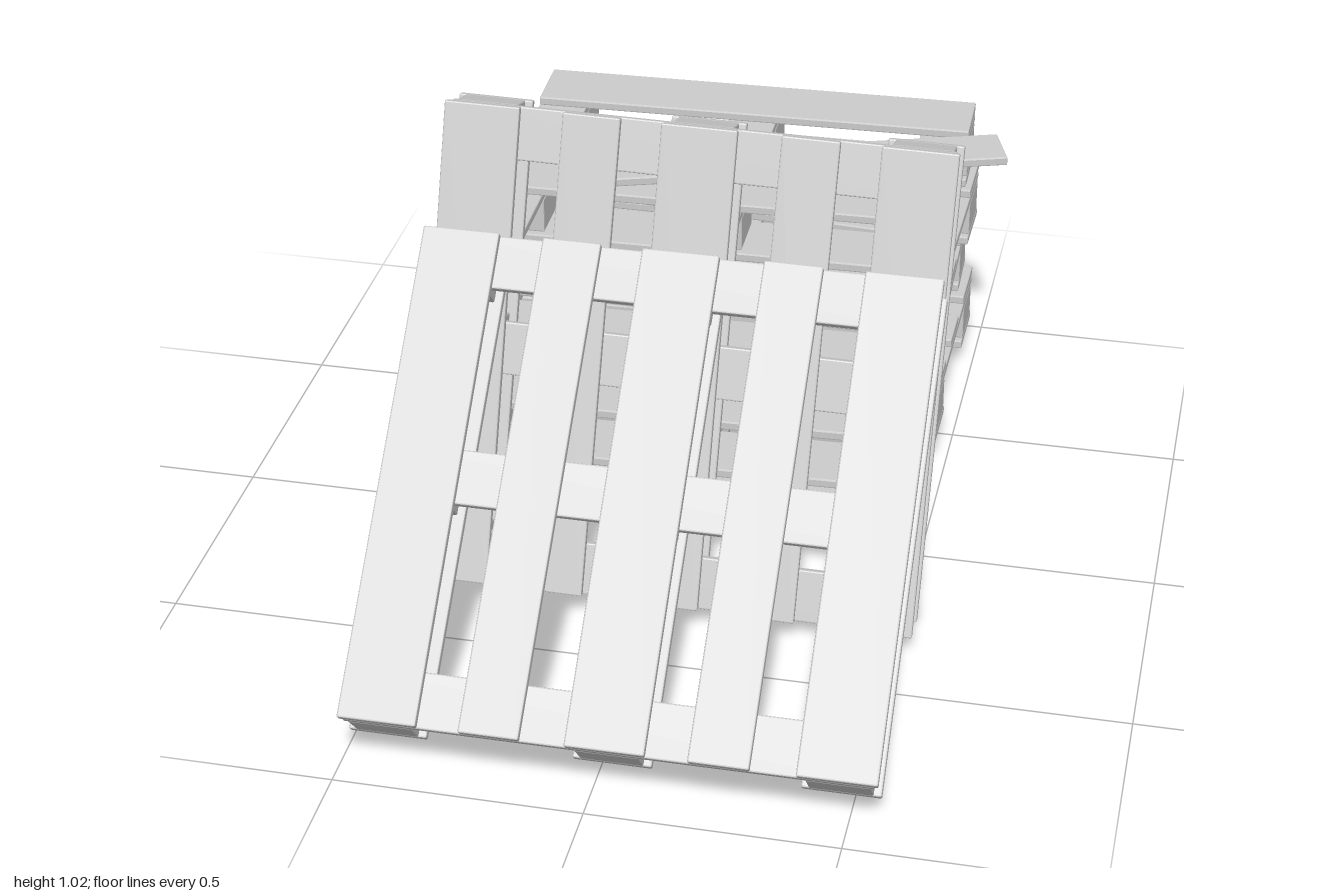
import * as THREE from 'three';
import { RoundedBoxGeometry } from 'three/addons/geometries/RoundedBoxGeometry.js';

const wood = new THREE.MeshStandardMaterial({ color: 0xcccccc, flatShading: true });

// Pallet dimensions
const PLANK = 0.02, BLOCK = 0.08, LENGTH = 1.0, SPAN = 0.445;
const WIDE = 0.155, NARROW = 0.118, STRINGER = 0.11;
const Y_BOTTOM = PLANK / 2;
const Y_BLOCK = PLANK + BLOCK / 2;
const Y_STRINGER = PLANK + BLOCK + PLANK / 2;
const Y_TOP = Y_STRINGER + PLANK;

function box(parent, name, w, h, d, x, y, z) {
  const mesh = new THREE.Mesh(new RoundedBoxGeometry(w, h, d, 1, 0.003), wood);
  mesh.name = name;
  mesh.position.set(x, y, z);
  parent.add(mesh);
  return mesh;
}

// Top boards run along x, stringers along z; "skip" lists the missing parts
function pallet(name, skip = [], jitter = 0) {
  const g = new THREE.Group();
  g.name = name;
  const has = (part) => !skip.includes(part);

  for (let i = 0; i < 5; i++) {
    if (!has('top' + i)) continue;
    const board = box(g, 'topBoard', LENGTH, PLANK, i % 2 ? NARROW : WIDE, 0, Y_TOP, (i - 2) * SPAN / 2);
    board.rotation.y = jitter * [1, -0.5, 0.7, -1, 0.4][i];
  }
  for (let i = 0; i < 3; i++) {
    const p = (i - 1) * SPAN;
    if (has('stringer' + i)) box(g, 'stringer', STRINGER, PLANK, 1.03, p, Y_STRINGER, 0);
    if (has('bottom' + i)) box(g, 'bottomBoard', LENGTH, PLANK, WIDE, 0, Y_BOTTOM, p);
    for (let j = 0; j < 3; j++) {
      if (has('block' + j + i)) box(g, 'block', STRINGER, BLOCK, 0.125, (j - 1) * SPAN, Y_BLOCK, p);
    }
  }
  return g;
}

// Half of a snapped board, with a jagged end at x = to
function snappedBoard(from, to, teeth) {
  const h = NARROW / 2;
  const shape = new THREE.Shape();
  shape.moveTo(from, -h);
  teeth.forEach((t, i) => shape.lineTo(to + t, -h + NARROW * i / (teeth.length - 1)));
  shape.lineTo(from, h);
  const geo = new THREE.ExtrudeGeometry(shape, { depth: PLANK, bevelEnabled: false });
  geo.rotateX(-Math.PI / 2);
  const mesh = new THREE.Mesh(geo, wood);
  mesh.name = 'snappedBoard';
  return mesh;
}

// Third pallet of the stack: broken stringer, snapped board and a board knocked askew
function damagedPallet() {
  const g = pallet('damagedPallet', ['top1', 'top3', 'stringer2', 'bottom2', 'block22'], 0.006);

  const askew = box(g, 'askewBoard', LENGTH, PLANK, NARROW, -0.04, Y_TOP, -0.225);
  askew.rotation.y = -0.07;

  const left = snappedBoard(-0.5, 0.15, [0.02, -0.02, 0.05, -0.03, 0.04, -0.03]);
  left.position.set(0, Y_TOP - PLANK / 2, 0.225);
  const right = snappedBoard(0.5, 0.19, [0.02, -0.02, 0.04, -0.03, 0.04, -0.02]);
  right.position.set(0, Y_TOP - PLANK / 2, 0.215);
  right.rotation.y = 0.03;
  g.add(left, right);
  // The right piece is drawn in the opposite winding, which the extrusion corrects

  box(g, 'brokenStringer', STRINGER, PLANK, 0.685, SPAN, Y_STRINGER, -0.1725);
  const hanging = box(g, 'hangingStringer', STRINGER, PLANK, 0.355, SPAN, 0.077, 0.345);
  hanging.rotation.x = 0.18;
  return g;
}

// Leans a pallet back with its top boards running up the slope
function leaning(name, x, y, z, slope, yaw, roll) {
  const g = new THREE.Group();
  g.name = name;
  g.position.set(x, y, z);
  g.rotation.set(0, yaw, roll);
  const tilt = new THREE.Group();
  tilt.rotation.set(slope, Math.PI / 2, 0);
  const p = pallet('pallet', [], 0.004);
  p.position.y = -(Y_TOP + PLANK / 2) / 2;
  tilt.add(p);
  g.add(tilt);
  return g;
}

export function createModel() {
  const model = new THREE.Group();
  model.name = 'palletPile';

  // Stack of four
  const stack = new THREE.Group();
  stack.name = 'palletStack';
  const layers = [
    [pallet('lowestPallet'), 0, -0.025, -0.4475],
    [pallet('secondPallet', [], 0.004), 0.03, -0.03, -0.455],
    [damagedPallet(), -0.008, -0.025, -0.45],
    [pallet('topPallet', ['top3'], 0.01), 0.018, -0.028, -0.455],
  ];
  layers.forEach(([p, yaw, x, z], i) => {
    p.position.set(x, 0.046 + i * 0.1395, z);
    p.rotation.y = yaw;
    stack.add(p);
  });
  model.add(stack);

  // Loose plank lying across the stack
  const plank = box(model, 'loosePlank', 0.985, PLANK, NARROW, 0.087, 0.614, -0.587);
  plank.rotation.y = 0.328;

  // Two pallets leaning against the stack
  model.add(leaning('steepPallet', 0.018, 0.512, 0.155, 1.241, 0.03, -0.028));
  model.add(leaning('frontPallet', 0.035, 0.442, 0.58, 0.744, 0.018, -0.012));
  return model;
}
